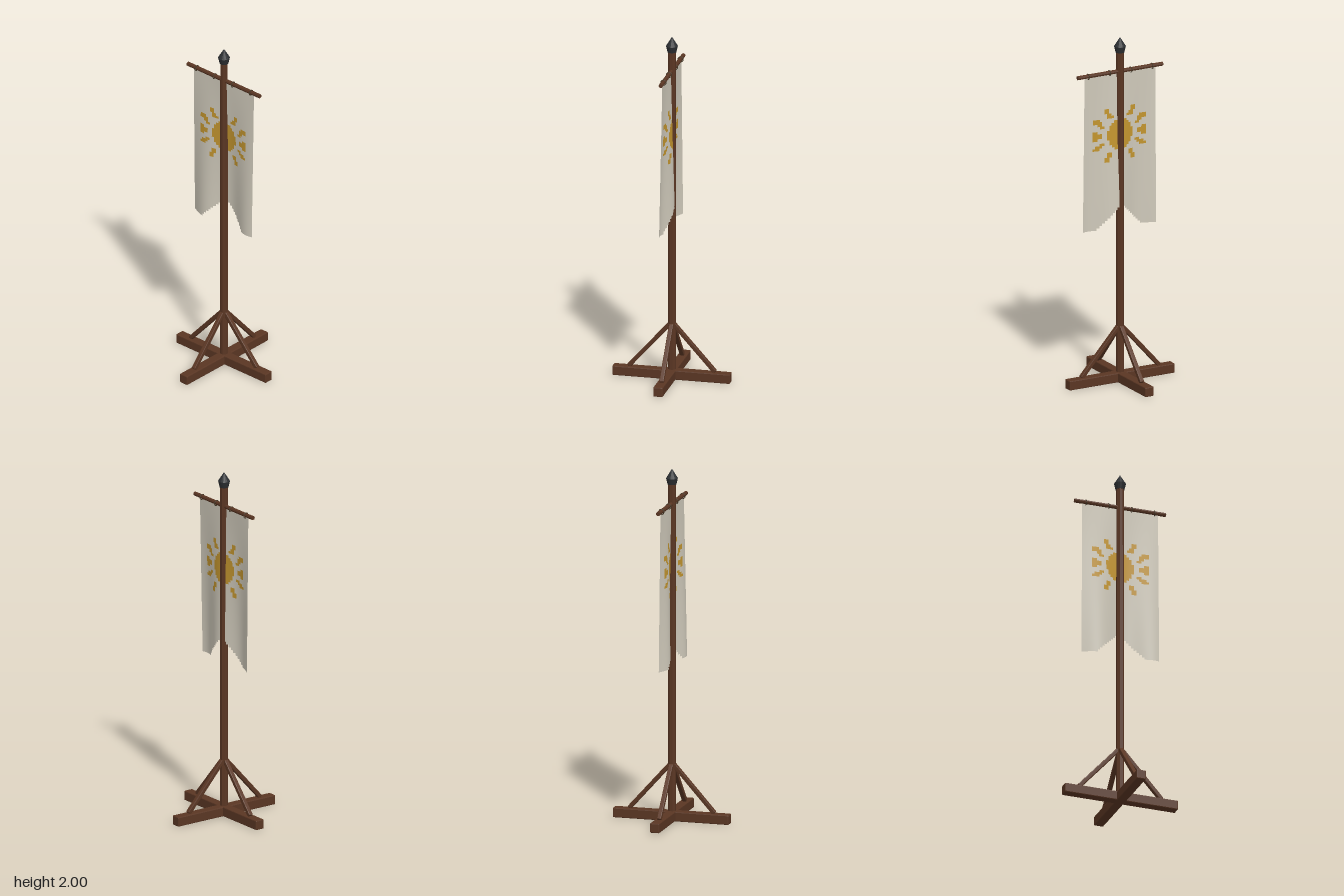
import * as THREE from 'three';
import { RoundedBoxGeometry } from 'three/addons/geometries/RoundedBoxGeometry.js';

const COLS = 32, ROWS = 64, WIDTH = 0.45, HEIGHT = 0.9, TOP = 1.79;

// Half of the sun emblem: per cell row, [first, last] column spans counted outward from the middle
const SUN_ROW = 14;
const SUN = [
  [[5, 6]], [[5, 6]], [[4, 5]], [[3, 5]],
  [[9, 11]], [[0, 2], [8, 11]], [[0, 3], [8, 9]], [[0, 4], [7, 8]], [[0, 4]],
  [[0, 5], [10, 11]], [[0, 5], [8, 11]], [[0, 5], [8, 11]], [[0, 5], [10, 11]],
  [[0, 4]], [[0, 4], [7, 8]], [[0, 3], [8, 10]], [[0, 2], [9, 11]], [],
  [[4, 5]], [[4, 5]], [[5, 6]], [[5, 6]],
];

function bannerGeometry() {
  const geo = new THREE.PlaneGeometry(WIDTH, HEIGHT, COLS, ROWS);
  geo.translate(0, TOP - HEIGHT / 2, 0);

  // Folds deepen toward the hem
  const p = geo.attributes.position;
  for (let i = 0; i < p.count; i++) {
    const t = (TOP - p.getY(i)) / HEIGHT;
    p.setZ(i, 0.001 + 0.024 * t * Math.cos((2 * Math.PI * (p.getX(i) + 0.125)) / 0.315));
  }
  geo.computeVertexNormals();

  // Cut the stepped notch and sort the remaining cells into cloth and emblem
  const cloth = [], emblem = [];
  for (let r = 0; r < ROWS; r++) {
    for (let c = 0; c < COLS; c++) {
      const h = c < COLS / 2 ? COLS / 2 - 1 - c : c - COLS / 2;
      if (h < 10 - (ROWS - 1 - r)) continue;
      const spans = SUN[r - SUN_ROW] || [];
      const list = spans.some(([a, b]) => h >= a && h <= b) ? emblem : cloth;
      const a = r * (COLS + 1) + c, b = a + COLS + 1;
      list.push(a, b, a + 1, b, b + 1, a + 1);
    }
  }
  geo.setIndex([...cloth, ...emblem]);
  geo.clearGroups();
  geo.addGroup(0, cloth.length, 0);
  geo.addGroup(cloth.length, emblem.length, 1);
  return geo;
}

export function createModel() {
  const group = new THREE.Group();
  const material = (name, color, extra = {}) => {
    const m = new THREE.MeshStandardMaterial({ color, ...extra });
    m.name = name;
    return m;
  };
  const wood = material('wood', 0x5a3623, { flatShading: true });
  const iron = material('darkIron', 0x2b2e31, { flatShading: true });
  const rope = material('rope', 0x463a28);
  const linen = material('linen', 0xd0cabb, { side: THREE.DoubleSide });
  const gold = material('gold', 0xc4962f, { side: THREE.DoubleSide });

  const add = (name, geo, mat, parent = group) => {
    const mesh = new THREE.Mesh(geo, mat);
    mesh.name = name;
    parent.add(mesh);
    return mesh;
  };

  // Crossed feet, one a hair lower so the tops do not coincide
  add('footBeamX', new RoundedBoxGeometry(0.67, 0.055, 0.054, 1, 0.005), wood).position.y = 0.0285;
  add('footBeamZ', new RoundedBoxGeometry(0.054, 0.055, 0.67, 1, 0.005), wood).position.y = 0.0275;

  // Four diagonal braces
  const low = new THREE.Vector2(0.246, 0.057), high = new THREE.Vector2(0.012, 0.318);
  const run = high.clone().sub(low);
  for (let i = 0; i < 4; i++) {
    const pivot = new THREE.Group();
    pivot.name = 'brace' + (i + 1);
    pivot.rotation.y = (i * Math.PI) / 2;
    const strut = add('strut', new RoundedBoxGeometry(run.length(), 0.024, 0.025, 1, 0.004), wood, pivot);
    strut.position.set((low.x + high.x) / 2, (low.y + high.y) / 2, 0);
    strut.rotation.z = run.angle();
    group.add(pivot);
  }

  // Pole
  const pole = add('pole', new THREE.CylinderGeometry(0.022, 0.023, 1.915, 8), wood);
  pole.position.y = 0.9675;
  pole.rotation.y = Math.PI / 8;

  // Pointed finial
  const profile = [[0, 1.912], [0.025, 1.912], [0.033, 1.947], [0, 2]];
  add('finial', new THREE.LatheGeometry(profile.map(([x, y]) => new THREE.Vector2(x, y)), 16), iron);

  // Crossbar with cord loops
  const bar = add('crossbar', new THREE.CylinderGeometry(0.012, 0.012, 0.54, 8), wood);
  bar.rotation.z = Math.PI / 2;
  bar.position.y = 1.802;
  for (const x of [-0.203, -0.068, 0.068, 0.203]) {
    const loop = add('cordLoop', new THREE.TorusGeometry(0.015, 0.0025, 6, 16), rope);
    loop.rotation.y = Math.PI / 2;
    loop.position.set(x, 1.8, 0);
  }

  // Swallow-tailed cloth with its sun emblem
  add('banner', bannerGeometry(), [linen, gold]);

  return group;
}
